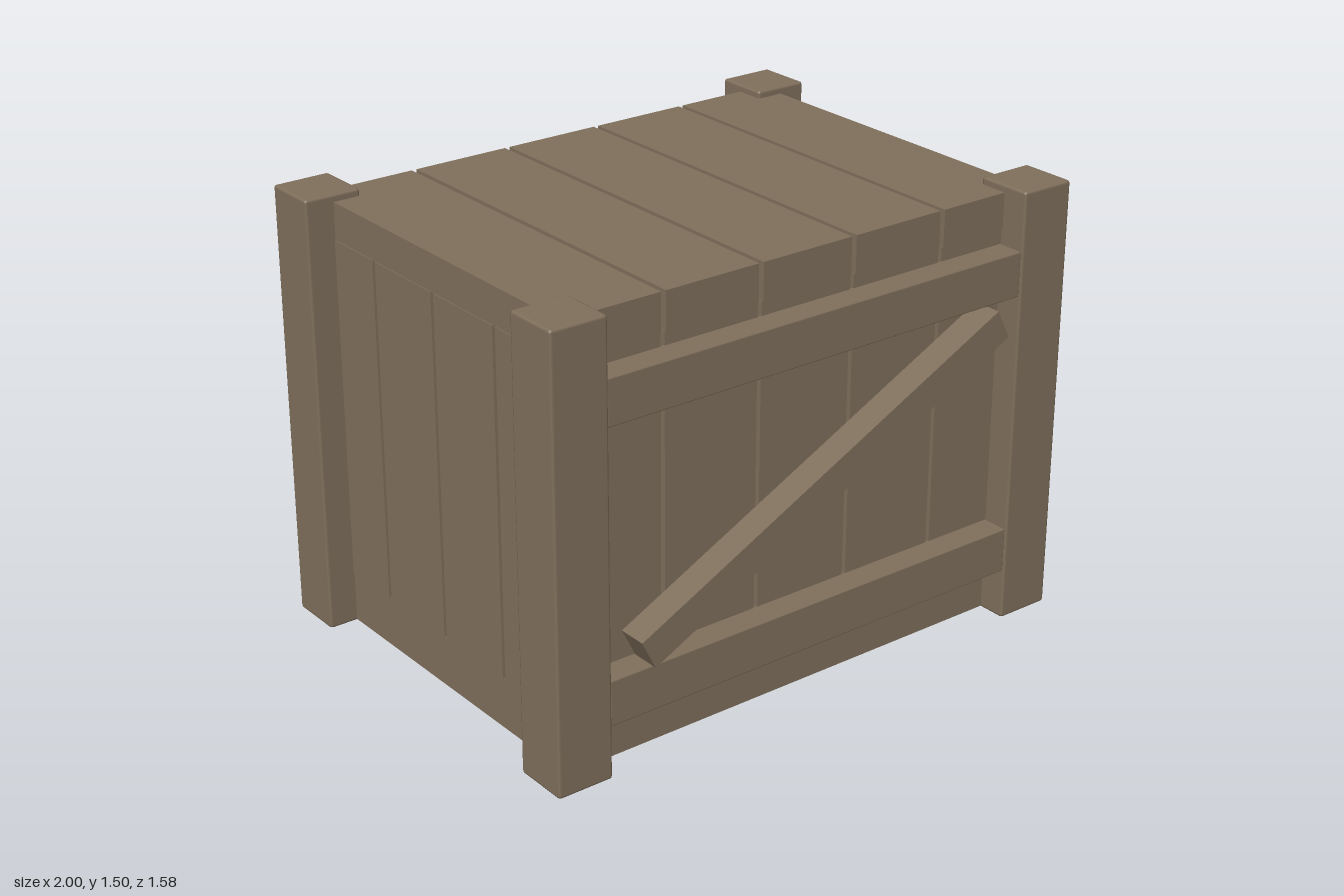
import * as THREE from 'three';
import { RoundedBoxGeometry } from 'three/addons/geometries/RoundedBoxGeometry.js';

export function createModel() {
  const crate = new THREE.Group();
  crate.name = 'woodenCrate';
  const wood = new THREE.MeshStandardMaterial({ color: 0x80705c });
  wood.name = 'brownWood';

  // A board spanning the given ranges, with an optional small bevel
  function board(name, [x0, x1], [y0, y1], [z0, z1], bevel = 0) {
    const size = [x1 - x0, y1 - y0, z1 - z0];
    const geometry = bevel
      ? new RoundedBoxGeometry(...size, 1, bevel)
      : new THREE.BoxGeometry(...size);
    const mesh = new THREE.Mesh(geometry, wood);
    mesh.name = name;
    mesh.position.set((x0 + x1) / 2, (y0 + y1) / 2, (z0 + z1) / 2);
    crate.add(mesh);
    return mesh;
  }

  // Splits a width into equal slats with gaps between them
  function slats(half, count, gap) {
    const pitch = (2 * half) / count;
    return Array.from({ length: count }, (_, i) => [
      -half + i * pitch + (i > 0 ? gap / 2 : 0),
      -half + (i + 1) * pitch - (i < count - 1 ? gap / 2 : 0),
    ]);
  }
  // Range on the positive or negative side of an axis
  const side = (s, a, b) => (s > 0 ? [a, b] : [-b, -a]);

  // Solid floor
  board('floor', [-0.9, 0.9], [0.005, 0.18], [-0.65, 0.65]);

  // Lid slats run front to back
  for (const x of slats(0.9, 5, 0.018)) {
    board('lidSlat', x, [1.35, 1.475], [-0.655, 0.655]);
  }

  for (const s of [1, -1]) {
    // Upright wall slats
    for (const x of slats(0.9, 5, 0.014)) {
      board('frontBackSlat', x, [0.18, 1.35], side(s, 0.615, 0.65));
    }
    for (const z of slats(0.65, 4, 0.014)) {
      board('sideSlat', side(s, 0.865, 0.903), [0.18, 1.35], z);
    }

    // Horizontal rails
    for (const y of [[0.175, 0.33], [1.15, 1.303]]) {
      board('rail', [-0.805, 0.805], y, side(s, 0.64, 0.74), 0.005);
    }

    // Diagonal brace, rising to +x on both faces
    const brace = board('diagonalBrace', [-0.779, 0.779], [-0.055, 0.055], side(s, 0.69, 0.79));
    brace.position.x = -0.003;
    brace.position.y = 0.753;
    brace.rotation.z = Math.atan2(0.6975, 1.393);

    // Corner posts
    for (const t of [1, -1]) {
      board('cornerPost', side(t, 0.803, 1), [0, 1.5], side(s, 0.552, 0.747), 0.01);
    }
  }

  // Repair plank on the back
  board('backRepairPlank', [-0.26, 0.63], [0.62, 0.81], [-0.72, -0.63]);

  return crate;
}
